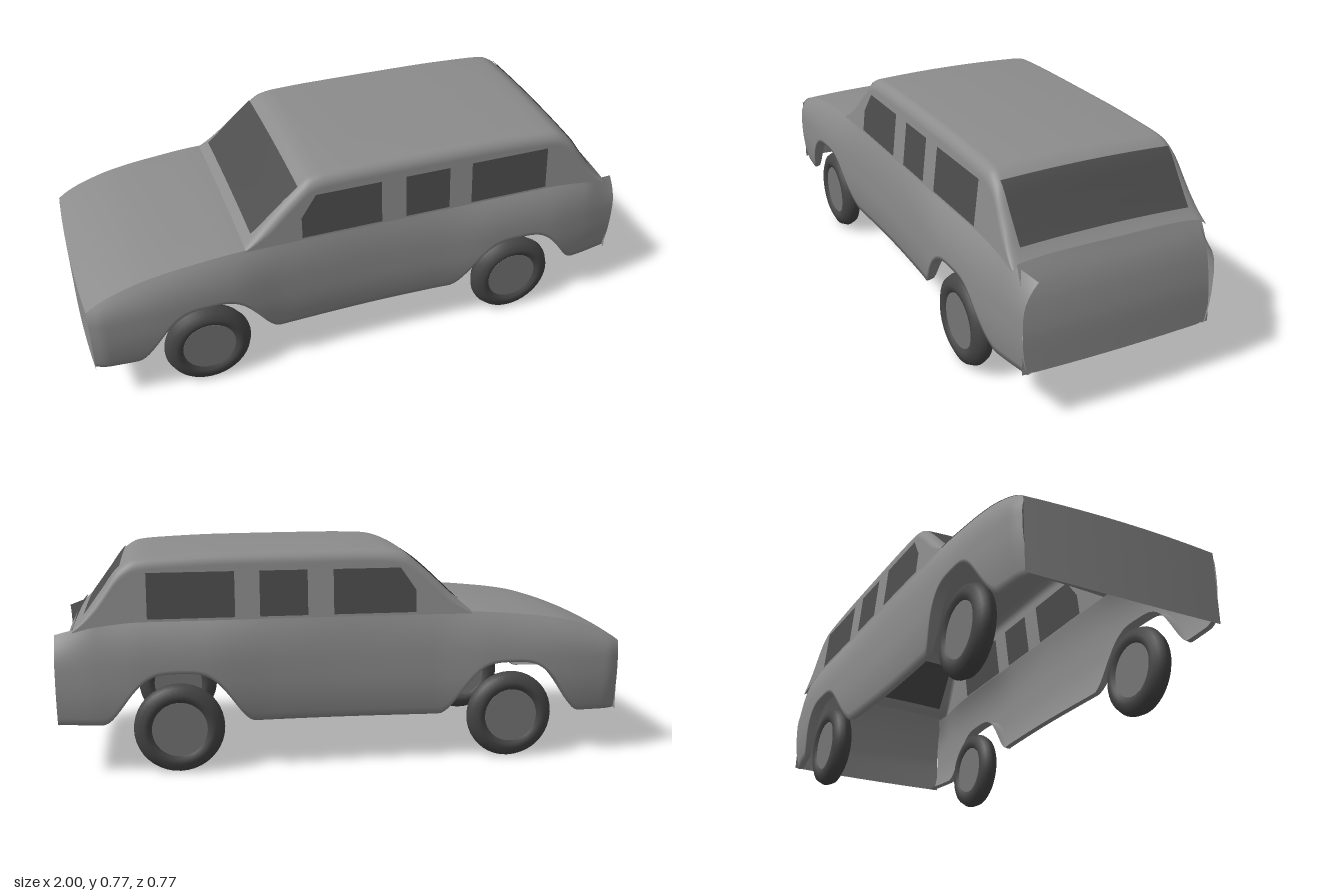
import * as THREE from 'three';

const flat = (name, color) => new THREE.MeshStandardMaterial({ name, color, side: THREE.DoubleSide });

// Smooth monotone curve through [x, y] points
function curve(pts) {
  const d = pts.slice(1).map((p, i) => (p[1] - pts[i][1]) / (p[0] - pts[i][0]));
  const m = pts.map((_, i) => {
    const a = d[i - 1] ?? d[i], b = d[i] ?? d[i - 1];
    return a * b <= 0 ? 0 : (2 * a * b) / (a + b);
  });
  return (x) => {
    x = Math.min(Math.max(x, pts[0][0]), pts[pts.length - 1][0]);
    let i = 0;
    while (i < pts.length - 2 && x > pts[i + 1][0]) i++;
    const h = pts[i + 1][0] - pts[i][0], t = (x - pts[i][0]) / h, s = 1 - t;
    return pts[i][1] * (1 + 2 * t) * s * s + m[i] * h * t * s * s
      + pts[i + 1][1] * t * t * (3 - 2 * t) - m[i + 1] * h * t * t * s;
  };
}

// Smooth sheet from f(u, v) -> [x, y, z]
function sheet(f, nu, nv, flip = false) {
  const pos = [], idx = [];
  for (let i = 0; i <= nu; i++) for (let j = 0; j <= nv; j++) pos.push(...f(i / nu, j / nv));
  for (let i = 0; i < nu; i++) for (let j = 0; j < nv; j++) {
    const a = i * (nv + 1) + j, b = a + nv + 1;
    if (flip) idx.push(a, a + 1, b, b, a + 1, b + 1);
    else idx.push(a, b, a + 1, b, b + 1, a + 1);
  }
  const g = new THREE.BufferGeometry();
  g.setAttribute('position', new THREE.Float32BufferAttribute(pos, 3));
  g.setIndex(idx);
  g.computeVertexNormals();
  return g;
}

const lerp = THREE.MathUtils.lerp;

// Body rules: the nose points to -x
const halfWidth = curve([[-1, 0.35], [-0.94, 0.372], [-0.7, 0.385], [-0.5, 0.381], [-0.3, 0.366],
  [0, 0.361], [0.25, 0.367], [0.5, 0.382], [0.7, 0.381], [0.85, 0.37], [1, 0.345]]);
const belt = curve([[-1, 0.41], [-0.95, 0.445], [-0.88, 0.475], [-0.78, 0.503], [-0.65, 0.522],
  [-0.44, 0.538], [0, 0.54], [0.7, 0.54], [0.85, 0.528], [0.93, 0.51], [1, 0.488]]);
const beltZ = curve([[-1, 0.342], [0.86, 0.342], [1, 0.295]]);
const roof = curve([[-0.44, 0.55], [-0.4, 0.583], [-0.25, 0.72], [-0.2, 0.757], [-0.15, 0.766], [0, 0.77],
  [0.4, 0.768], [0.65, 0.759], [0.72, 0.752], [0.77, 0.725], [0.84, 0.635], [0.9, 0.555], [0.935, 0.52]]);
const cabinZ = (y) => 0.345 - 0.105 * (y - 0.54);

function sill(x) {
  let y = lerp(0.165, 0.185, (x + 1) / 2);
  for (const c of [-0.585, 0.585]) {
    const t = Math.abs(x - c) / 0.26;
    if (t < 1) y += (0.36 - y) * (0.5 + 0.5 * Math.cos(Math.PI * t ** 1.7));
  }
  return y;
}

function sidePoint(u, v, s) {
  const x = lerp(-0.988, 0.995, u), lo = sill(x), hi = belt(x), w = halfWidth(x);
  if (v === 0) return [x, lo + 0.004, s * (w - 0.04)]; // lip turned inward
  const y = lerp(lo, hi, (v * 15 - 1) / 14);
  let z = w;
  if (y < 0.33) z -= 0.02 * ((0.33 - y) / 0.15) ** 2;
  if (y > 0.36) z -= (w - beltZ(x)) * ((y - 0.36) / (hi - 0.36)) ** 2.5;
  return [x, y, s * z];
}

function cabinPoint(u, v) {
  const x = lerp(-0.44, 0.93, u), R = roof(x), b = Math.min(belt(x) - 0.006, R - 0.005);
  const k = 1 - Math.abs(2 * v - 1), s = v < 0.5 ? 1 : -1;
  const r = Math.min(0.045, 0.45 * (R - b)), top = R - 0.008;
  const z0 = cabinZ(top - r), zc = z0 - 0.04;
  let y, z;
  if (k < 0.35) {
    y = lerp(b, top - r, k / 0.35);
    z = cabinZ(y);
  } else if (k < 0.7) {
    const a = ((k - 0.35) / 0.35) * Math.PI / 2;
    y = top - r + r * Math.sin(a);
    z = zc + 0.04 * Math.cos(a);
  } else {
    z = zc * (1 - k) / 0.3;
    y = R - 0.008 * (z / zc) ** 2;
  }
  return [x, y, s * z];
}

export function createModel() {
  const car = new THREE.Group();
  car.name = 'stationWagon';
  const paint = flat('bodyGrey', 0x8c8c8c), glass = flat('darkGlass', 0x4d4d4d);
  const rubber = flat('tyreGrey', 0x454545), metal = flat('hubGrey', 0x757575);
  const add = (name, geo, mat, parent = car) => {
    const m = new THREE.Mesh(geo, mat);
    m.name = name;
    parent.add(m);
    return m;
  };

  // Side panels with wheel arches
  add('leftSidePanel', sheet((u, v) => sidePoint(u, v, 1), 140, 15), paint);
  add('rightSidePanel', sheet((u, v) => sidePoint(u, v, -1), 140, 15, true), paint);

  // Hood, nose and tailgate
  const noseX = (z) => -1 + 0.012 * (z / 0.345) ** 2;
  const hoodY = (x, z) => belt(x) + 0.012 * (1 - (z / 0.345) ** 2);
  add('hood', sheet((u, v) => {
    const z = lerp(0.345, -0.345, v), x = lerp(noseX(z), -0.4, u);
    return [x, hoodY(x, z), z];
  }, 30, 16), paint);
  add('nosePanel', sheet((u, v) => {
    const z = lerp(-0.35, 0.35, u), x = noseX(z);
    return [x, lerp(0.155 + 0.01 * (z / 0.35) ** 2, hoodY(x, z), v), z];
  }, 16, 6), paint);
  const gateX = curve([[0.185, 0.99], [0.3, 0.986], [0.4, 0.972], [0.47, 0.953], [0.535, 0.922]]);
  add('tailgate', sheet((u, v) => {
    const k = 2 * u - 1, y = lerp(0.185, 0.537 - 0.014 * k ** 4, v);
    return [gateX(y) + 0.009 * (1 - k * k), y, -k * lerp(0.343, 0.332, v)];
  }, 16, 14), paint);

  // Cabin shell
  add('cabin', sheet(cabinPoint, 120, 60), paint);

  // Glass, laid on both faces of the shell
  const windscreen = (name, x0, x1) => {
    for (const o of [0.0045, -0.0045]) add(name, sheet((u, v) => {
      const x = lerp(x0, x1, u), z = lerp(0.303, -0.303, v);
      return [x, roof(x) - 0.008 * (z / 0.303) ** 2 + o, z];
    }, 10, 12), glass);
  };
  windscreen('windshield', -0.41, -0.24);
  windscreen('rearWindow', 0.77, 0.895);

  const windows = [
    ['frontSideWindow', (y) => -0.24 + Math.max(0, y - 0.62) * 0.7, () => 0.05],
    ['middleSideWindow', () => 0.14, () => 0.305],
    ['rearSideWindow', () => 0.39, () => 0.685],
  ];
  for (const [name, x0, x1] of windows) for (const s of [1, -1]) for (const o of [0.003, -0.003]) {
    add(name, sheet((u, v) => {
      const y = lerp(0.543, 0.698, v);
      return [lerp(x0(y), x1(y), u), y, s * (cabinZ(y) + o)];
    }, 4, 8, s < 0), glass);
  }

  // Wheels
  const tyre = new THREE.LatheGeometry([[0.093, -0.024], [0.106, -0.036], [0.123, -0.037], [0.147, -0.025],
    [0.156, -0.004], [0.156, 0.004], [0.147, 0.025], [0.123, 0.037], [0.106, 0.036], [0.093, 0.024]]
    .map(([r, h]) => new THREE.Vector2(r, h)), 40).rotateX(Math.PI / 2);
  const hub = new THREE.CylinderGeometry(0.095, 0.095, 0.054, 40).rotateX(Math.PI / 2);
  for (const x of [-0.592, 0.587]) for (const s of [1, -1]) {
    const wheel = new THREE.Group();
    wheel.name = (x < 0 ? 'front' : 'rear') + (s > 0 ? 'Left' : 'Right') + 'Wheel';
    wheel.position.set(x, 0.157, s * 0.327);
    add('tyre', tyre, rubber, wheel);
    add('hub', hub, metal, wheel);
    car.add(wheel);
  }
  return car;
}
